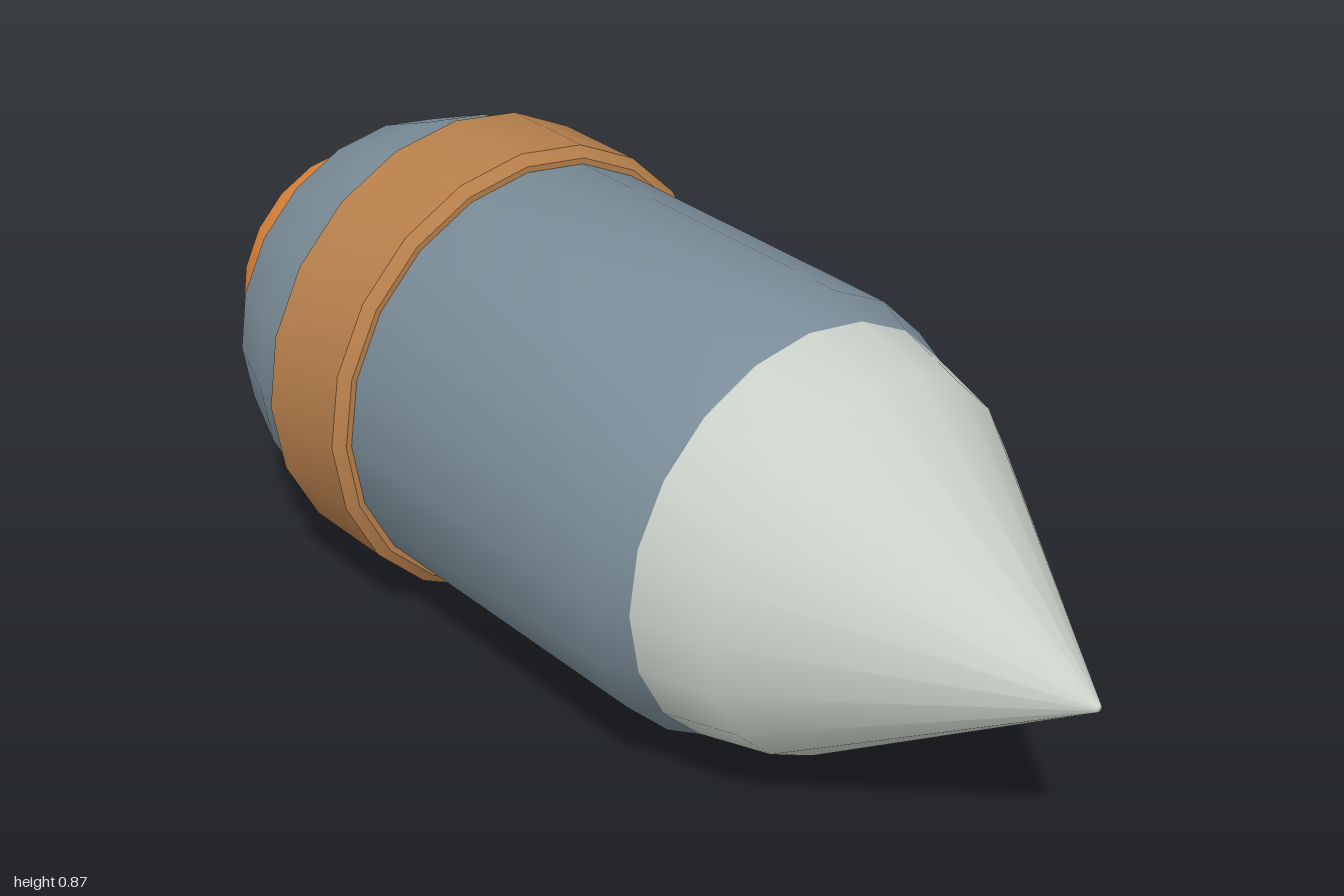
import * as THREE from 'three';
import { toCreasedNormals } from 'three/addons/utils/BufferGeometryUtils.js';

const SIDES = 20;
const CENTRE_Y = 0.437;

// Revolve [radius, z] points, listed from back to front, about the z axis
function revolve(points) {
  const profile = points.map(([r, z]) => new THREE.Vector2(r, z));
  return new THREE.LatheGeometry(profile, SIDES).rotateX(Math.PI / 2);
}

export function createModel() {
  const model = new THREE.Group();
  model.name = 'capsule';

  const add = (name, geometry, color, z = 0) => {
    const mesh = new THREE.Mesh(geometry, new THREE.MeshStandardMaterial({ color }));
    mesh.name = name;
    mesh.position.set(0, CENTRE_Y, z);
    model.add(mesh);
  };

  // Pointed nose with a tiny blunt tip
  add('nose', revolve([[0.378, 0.345], [0.341, 0.49], [0.006, 1], [0, 1]]), 0xc8d0c8);

  // Body: tapered at both ends, with a flat rim at the back
  const body = revolve([[0.3, -0.815], [0.352, -0.815], [0.405, -0.675], [0.405, 0.275], [0.378, 0.345]]);
  add('body', toCreasedNormals(body, 0.7), 0x7a8c98);

  // Raised band with chamfered edges
  const band = revolve([[0.4, -0.61], [0.416, -0.61], [0.435, -0.592], [0.435, -0.4], [0.416, -0.383], [0.4, -0.383]]);
  add('band', toCreasedNormals(band, 0.7), 0xb8804c);

  // Tail, closed by a flat disc
  const tailColor = 0xf49040;
  add('tail', revolve([[0.176, -1], [0.25, -0.965], [0.314, -0.815]]), tailColor);
  add('tailCap', new THREE.CircleGeometry(0.176, SIDES).rotateY(Math.PI), tailColor, -1);

  return model;
}
